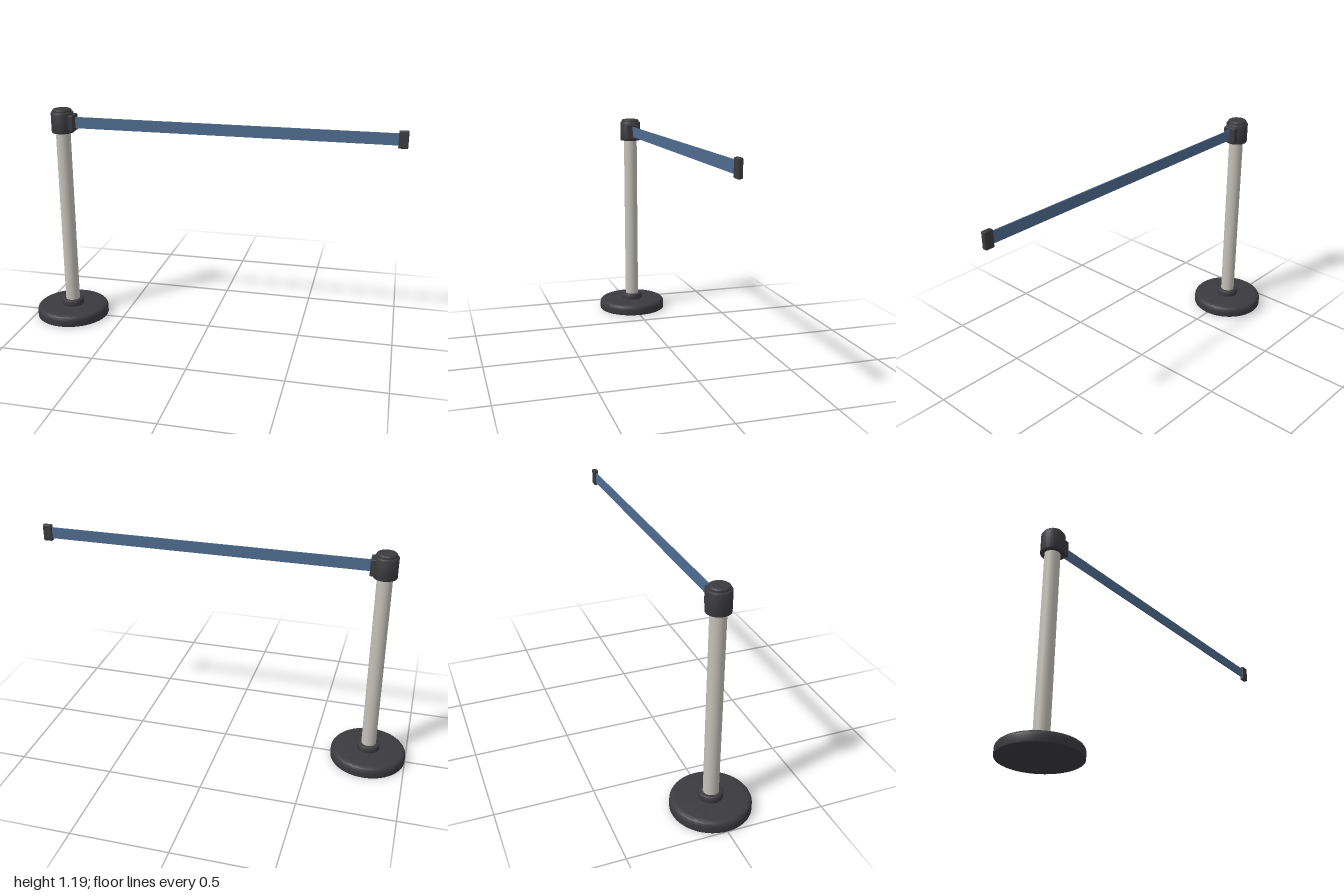
import * as THREE from 'three';
import { toCreasedNormals } from 'three/addons/utils/BufferGeometryUtils.js';
import { RoundedBoxGeometry } from 'three/addons/geometries/RoundedBoxGeometry.js';

const POST_X = -0.8;
const BELT_Y = 1.115;

function material(name, color) {
  const m = new THREE.MeshStandardMaterial({ color });
  m.name = name;
  return m;
}

// Solid of revolution with its top edge rounded by topR and bottom edge by bottomR
function roundedDisc(radius, y0, y1, topR, bottomR) {
  const points = [new THREE.Vector2(0, y0)];
  const steps = 6;
  const arc = (cy, r, start) => {
    for (let i = 0; i <= steps; i++) {
      const a = start + (i / steps) * Math.PI / 2;
      points.push(new THREE.Vector2(radius - r + r * Math.cos(a), cy + r * Math.sin(a)));
    }
  };
  arc(y0 + bottomR, bottomR, -Math.PI / 2);
  arc(y1 - topR, topR, 0);
  points.push(new THREE.Vector2(0, y1));
  return toCreasedNormals(new THREE.LatheGeometry(points, 64), 0.6);
}

export function createModel() {
  const group = new THREE.Group();
  group.name = 'beltBarrierPost';
  const dark = material('dark plastic', 0x3b3b3f);
  const steel = material('brushed steel', 0xc4c1b8);
  const blue = material('blue webbing', 0x4f6c90);

  const add = (name, geometry, mat, x, y = 0) => {
    const mesh = new THREE.Mesh(geometry, mat);
    mesh.name = name;
    mesh.position.set(x, y, 0);
    group.add(mesh);
  };

  // Weighted base and collar
  add('base', roundedDisc(0.2, 0, 0.06, 0.025, 0.003), dark, POST_X);
  add('collar', roundedDisc(0.06, 0.055, 0.093, 0.009, 0.002), dark, POST_X);

  // Pole
  add('pole', new THREE.CylinderGeometry(0.039, 0.039, 0.99, 48, 1, true), steel, POST_X, 0.575);

  // Head with its cap
  add('head', roundedDisc(0.06, 1.06, 1.172, 0.008, 0.004), dark, POST_X);
  add('cap', roundedDisc(0.051, 1.165, 1.187, 0.01, 0.001), dark, POST_X);

  // Belt outlet on the side of the head
  add('beltOutlet', new RoundedBoxGeometry(0.04, 0.088, 0.075, 3, 0.006), dark, -0.747, BELT_Y);

  // Belt and its end clip
  add('belt', new THREE.BoxGeometry(1.7, 0.06, 0.006), blue, 0.11, BELT_Y);
  add('endClip', new RoundedBoxGeometry(0.048, 0.088, 0.026, 3, 0.006), dark, 0.976, BELT_Y);

  return group;
}
